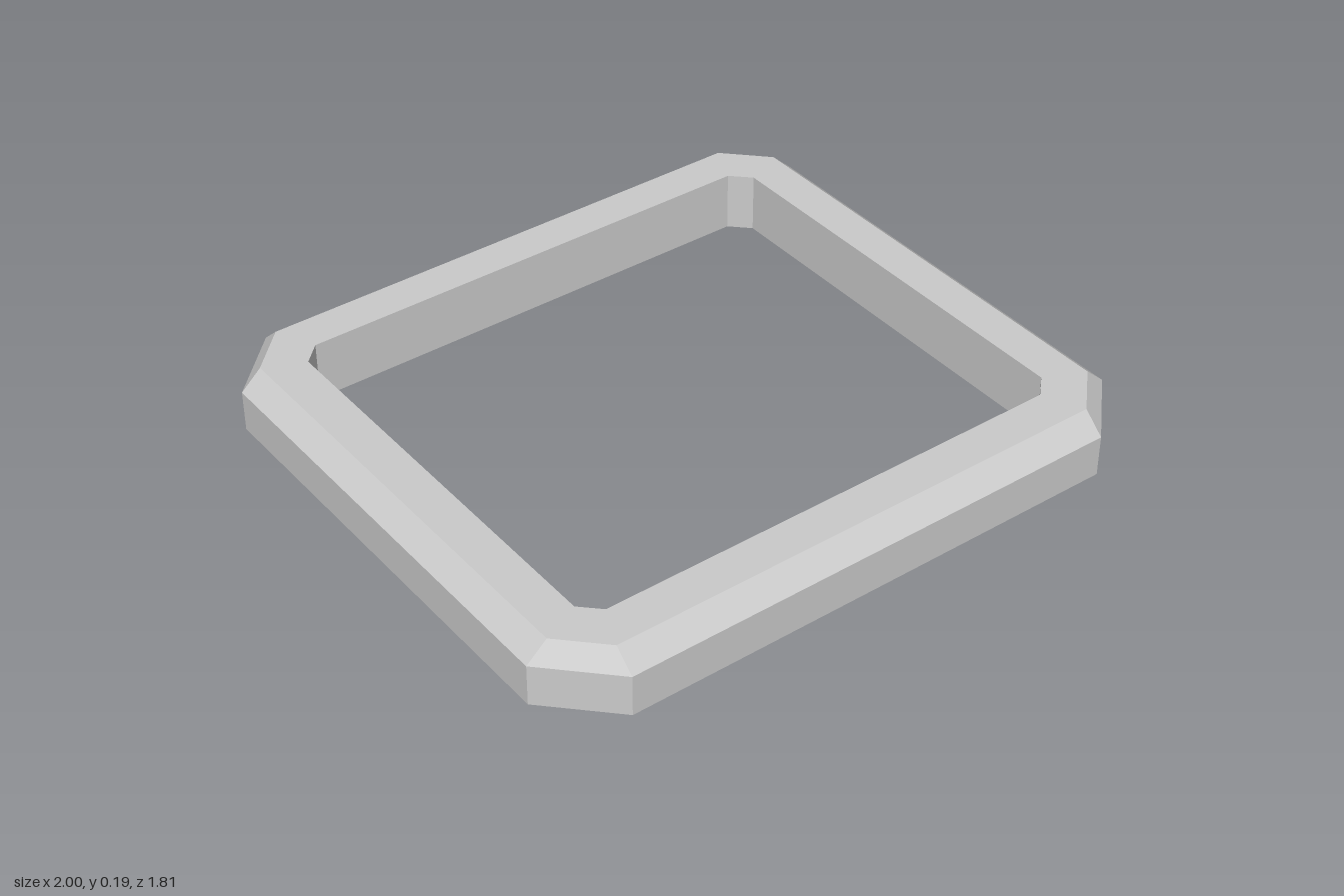
import * as THREE from 'three';

// Rectangle with cut corners, at height y; (x, z) half sizes, (ix, iz) where the cuts begin
function octagon(y, x, z, ix, iz) {
  return [[x, iz], [ix, z], [-ix, z], [-x, iz], [-x, -iz], [-ix, -z], [ix, -z], [x, -iz]]
    .map(([px, pz]) => [px, y, pz]);
}

export function createModel() {
  const group = new THREE.Group();
  group.name = 'bevelledFrame';

  // Cross-section of the frame: up the outside, over the bevel, down the inside
  const rings = [
    octagon(0, 1, 0.906, 0.81, 0.714),
    octagon(0.131, 1, 0.906, 0.81, 0.714),
    octagon(0.19, 0.935, 0.84, 0.81, 0.714),
    octagon(0.19, 0.81, 0.714, 0.752, 0.657),
    octagon(0, 0.81, 0.714, 0.752, 0.657),
  ];

  // Join neighbouring rings with quads, closing back to the first ring underneath
  const positions = [];
  rings.forEach((low, r) => {
    const high = rings[(r + 1) % rings.length];
    for (let i = 0; i < 8; i++) {
      const j = (i + 1) % 8;
      positions.push(...low[i], ...high[i], ...high[j], ...low[i], ...high[j], ...low[j]);
    }
  });
  const geometry = new THREE.BufferGeometry();
  geometry.setAttribute('position', new THREE.Float32BufferAttribute(positions, 3));
  geometry.computeVertexNormals();

  const frame = new THREE.Mesh(geometry,
    new THREE.MeshStandardMaterial({ color: 0xcccccc, flatShading: true }));
  frame.name = 'frame';
  group.add(frame);
  return group;
}
